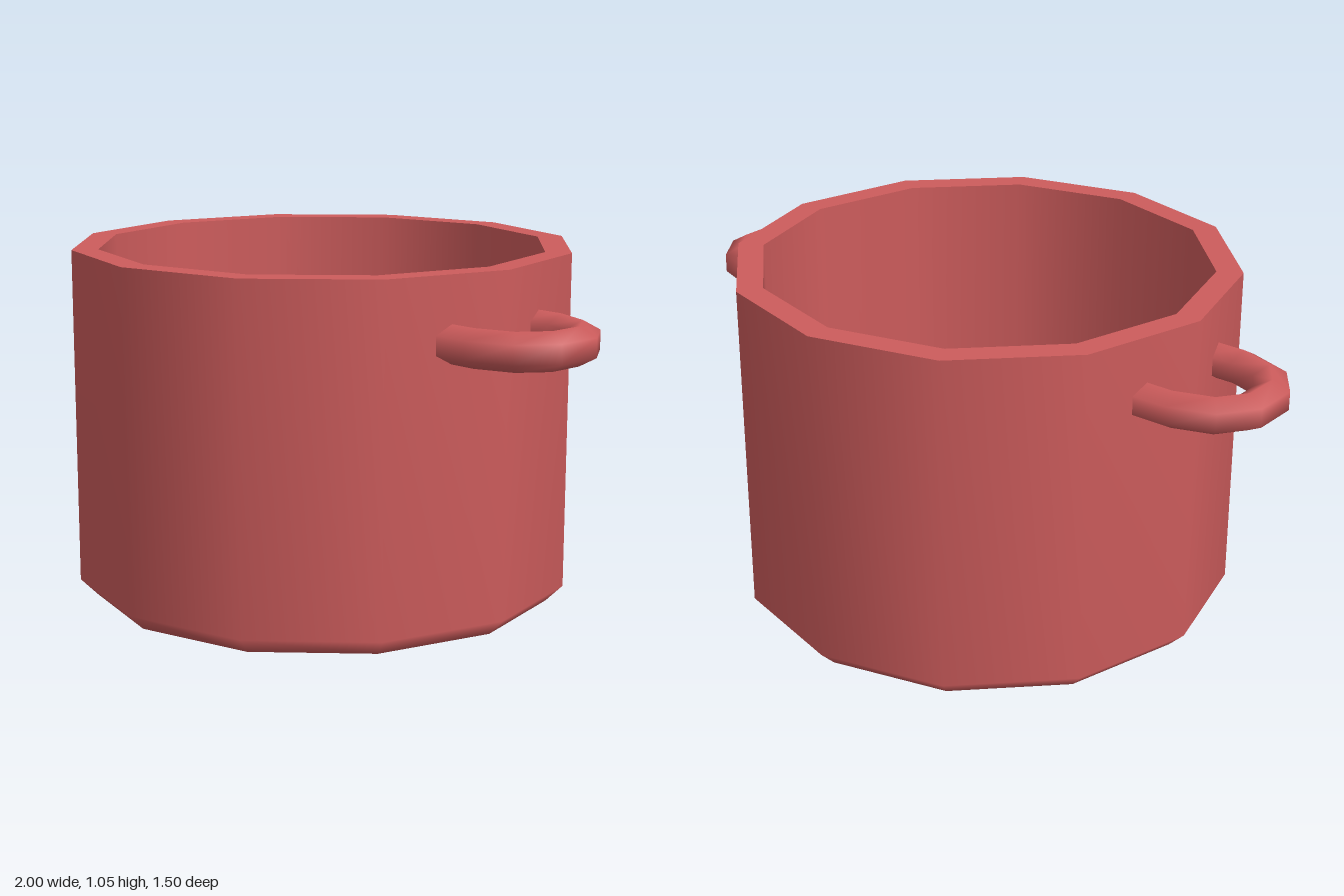
import * as THREE from 'three';

const SIDES = 12;

// Smooth twelve-sided surface from [radius, height] points
function turned(profile) {
  return new THREE.LatheGeometry(profile.map(([r, y]) => new THREE.Vector2(r, y)), SIDES);
}

// Six-sided bar swept along a horizontal path of [x, z] points with mitred corners
function bar(path, radius) {
  const n = 6, positions = [], index = [];
  const pts = path.map(([x, z]) => new THREE.Vector2(x, z));
  const last = pts.length - 1;
  pts.forEach((p, i) => {
    const before = p.clone().sub(pts[Math.max(i - 1, 0)]).normalize();
    const after = pts[Math.min(i + 1, last)].clone().sub(p).normalize();
    const dir = before.clone().add(after).normalize();
    const miter = 1 / dir.dot(i < last ? after : before);
    for (let j = 0; j < n; j++) {
      const a = (j / n) * Math.PI * 2;
      const side = Math.sin(a) * radius * miter;
      positions.push(p.x - dir.y * side, Math.cos(a) * radius, p.y + dir.x * side);
    }
  });
  for (let i = 0; i < last; i++) {
    for (let j = 0; j < n; j++) {
      const a = i * n + j, b = i * n + (j + 1) % n;
      index.push(a, b, a + n, b, b + n, a + n);
    }
  }
  const geometry = new THREE.BufferGeometry();
  geometry.setAttribute('position', new THREE.Float32BufferAttribute(positions, 3));
  geometry.setIndex(index);
  geometry.computeVertexNormals();
  return geometry;
}

export function createModel() {
  const pot = new THREE.Group();
  pot.name = 'cookingPot';
  const red = new THREE.MeshStandardMaterial({ color: 0xcd5c5c });
  red.name = 'redEnamel';

  const add = (name, geometry) => {
    const mesh = new THREE.Mesh(geometry, red);
    mesh.name = name;
    pot.add(mesh);
    return mesh;
  };

  // Pot body: separate surfaces keep the rim and floor edges sharp
  add('outerShell', turned([[0, 0], [0.7, 0], [0.75, 0.05], [0.75, 1.05]]));
  add('rim', turned([[0.75, 1.05], [0.672, 1.05]]));
  add('innerWall', turned([[0.672, 1.05], [0.672, 0.08]]));
  add('innerFloor', turned([[0.672, 0.08], [0, 0.08]]));

  // Loop handles, ends buried in the wall
  const half = [[0.67, 0.175], [0.785, 0.175], [0.896, 0.136], [0.954, 0.055]];
  const path = [...half, ...half.map(([x, z]) => [x, -z]).reverse()];
  const loop = bar(path, 0.055);
  ['leftHandle', 'rightHandle'].forEach((name, i) => {
    const handle = add(name, loop);
    handle.position.y = 0.86;
    handle.rotation.y = i * Math.PI;
  });
  return pot;
}
